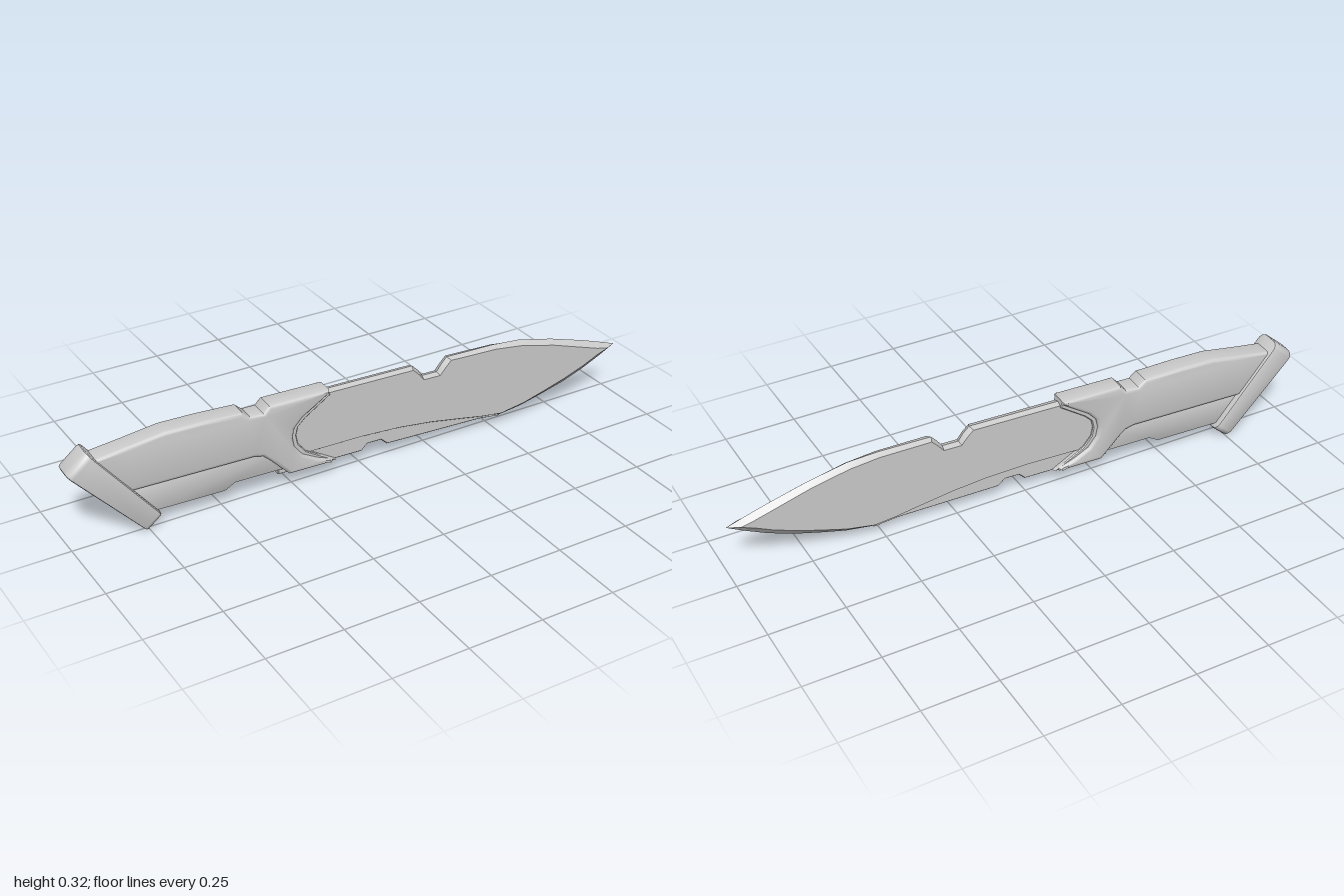
import * as THREE from 'three';
import { toCreasedNormals } from 'three/addons/utils/BufferGeometryUtils.js';

const material = new THREE.MeshStandardMaterial({ color: 0xcccccc });

function part(name, geometry, crease = 0.6) {
  const mesh = new THREE.Mesh(toCreasedNormals(geometry, crease), material);
  mesh.name = name;
  return mesh;
}

// Plate of a given half thickness, centred on z = 0, with its bevel kept inside the outline
function plate(points, half, bevel, segments = 1) {
  const shape = new THREE.Shape(points.map(([x, y]) => new THREE.Vector2(x, y)));
  const geometry = new THREE.ExtrudeGeometry(shape, {
    depth: 2 * (half - bevel), bevelEnabled: bevel > 0, bevelSize: bevel,
    bevelThickness: bevel, bevelOffset: -bevel, bevelSegments: segments,
  });
  return geometry.translate(0, 0, bevel - half);
}

// Blade body: each point is x, y on the middle ridge plus its shift on the flat faces
function bevelledBody(points, half) {
  const n = points.length;
  const rings = [-half, 0, half].map((z, i) =>
    points.map(([x, y, dx, dy]) => (i === 1 ? [x, y, z] : [x + dx, y + dy, z])));
  const index = [];
  for (let r = 0; r < 2; r++) {
    for (let i = 0; i < n; i++) {
      const j = (i + 1) % n, a = r * n + i, b = r * n + j;
      index.push(a, b, b + n, a, b + n, a + n);
    }
  }
  const face = rings[2].map(([x, y]) => new THREE.Vector2(x, y));
  for (const [a, b, c] of THREE.ShapeUtils.triangulateShape(face, [])) {
    index.push(a + 2 * n, b + 2 * n, c + 2 * n, c, b, a);
  }
  const geometry = new THREE.BufferGeometry();
  geometry.setAttribute('position', new THREE.Float32BufferAttribute(rings.flat(2), 3));
  geometry.setIndex(index);
  return geometry;
}

export function createModel() {
  const knife = new THREE.Group();
  knife.name = 'knife';

  // Blade, counter-clockwise from the lower rear corner
  const blade = [
    [-0.33, 0.10, 0, 0.012], [-0.22, 0.10, 0, 0.013], [0, 0.102, 0, 0.013],
    [0.14, 0.096, 0, 0.013], [0.26, 0.083, 0, 0.013], [0.38, 0.063, 0, 0.013],
    [0.46, 0.05, 0, 0.012], [0.53, 0.038, 0, 0.016], [0.62, 0.051, 0, 0.019],
    [0.70, 0.072, 0, 0.022], [0.79, 0.098, -0.01, 0.022], [0.87, 0.129, -0.015, 0.02],
    [0.94, 0.163, -0.025, 0.015], [0.995, 0.193, -0.04, 0],
    [0.93, 0.216, -0.02, -0.012], [0.86, 0.239, -0.01, -0.016],
    [0.73, 0.277, 0, -0.016], [0.60, 0.306, 0, -0.014], [0.50, 0.313, 0, -0.009],
    [0.32, 0.313, 0.006, -0.006], [0.30, 0.292, 0.006, -0.006],
    [0.283, 0.268, 0.003, -0.006], [0.228, 0.268, -0.003, -0.006],
    [0.212, 0.292, -0.006, -0.006], [0.19, 0.313, -0.006, -0.006], [-0.33, 0.313, 0, -0.006],
  ];
  knife.add(part('blade', bevelledBody(blade, 0.019), 0.3));

  // Thin strip below the blade's curved step
  const lowerStrip = [
    [-0.30, 0.055], [0, 0.055], [0.022, 0.076], [0.072, 0.076], [0.095, 0.055],
    [0.45, 0.05], [0.53, 0.041], [0.50, 0.07], [0.30, 0.12], [-0.30, 0.14],
  ];
  knife.add(part('bladeLowerStrip', plate(lowerStrip, 0.011, 0.003)));

  // Grip with a curved mouth around the blade
  const grip = [
    [-0.27, 0.06], [-0.115, 0.06], [-0.115, 0.069], [-0.17, 0.09], [-0.222, 0.118],
    [-0.25, 0.155], [-0.256, 0.19], [-0.248, 0.222], [-0.22, 0.252], [-0.125, 0.314],
    [-0.125, 0.325], [-0.335, 0.325], [-0.355, 0.304], [-0.40, 0.304], [-0.425, 0.325],
    [-0.56, 0.33], [-0.68, 0.33], [-0.80, 0.312], [-0.92, 0.295], [-0.80, 0.157],
    [-0.39, 0.157], [-0.36, 0.15], [-0.335, 0.128],
  ];
  knife.add(part('grip', plate(grip, 0.037, 0.012, 4), 0.5));

  // Raised lip set back inside the mouth
  const mouthLip = [
    [-0.30, 0.08], [-0.10, 0.06], [-0.155, 0.092], [-0.207, 0.123], [-0.235, 0.158],
    [-0.241, 0.19], [-0.234, 0.218], [-0.208, 0.243], [-0.12, 0.302], [-0.125, 0.32], [-0.30, 0.31],
  ];
  knife.add(part('mouthLip', plate(mouthLip, 0.026, 0.003)));

  // Thinner insert under the grip
  const gripInsert = [
    [-0.72, 0.06], [-0.49, 0.06], [-0.455, 0.08], [-0.27, 0.08],
    [-0.27, 0.17], [-0.80, 0.17], [-0.83, 0.15],
  ];
  knife.add(part('gripInsert', plate(gripInsert, 0.027, 0.006, 2)));

  // Slanted pommel: rounded bar, thicker at its upper end
  const length = 0.36, w = 0.048, l = length / 2, r = 0.03;
  const bar = new THREE.Shape();
  bar.moveTo(-l + r, -w).lineTo(l - r, -w).quadraticCurveTo(l, -w, l, -w + r);
  bar.lineTo(l, w - r).quadraticCurveTo(l, w, l - r, w).lineTo(-l + r, w);
  bar.quadraticCurveTo(-l, w, -l, w - r).lineTo(-l, -w + r).quadraticCurveTo(-l, -w, -l + r, -w);
  const pommelGeometry = new THREE.ExtrudeGeometry(bar, {
    depth: 0.064, bevelSize: 0.008, bevelThickness: 0.008, bevelOffset: -0.008,
    bevelSegments: 2, curveSegments: 6,
  }).translate(0, 0, -0.032).rotateX(-Math.PI / 2);
  const p = pommelGeometry.attributes.position;
  for (let i = 0; i < p.count; i++) p.setY(i, p.getY(i) * (1 - 0.9 * p.getX(i)));
  const pommel = part('pommel', pommelGeometry);
  pommel.position.set(-0.846, 0.163, 0);
  pommel.rotation.z = -0.866;
  knife.add(pommel);

  // The knife lies slightly turned about the vertical
  knife.rotation.y = -0.0435;
  knife.position.z = 0.011;
  const model = new THREE.Group();
  model.add(knife);
  return model;
}
